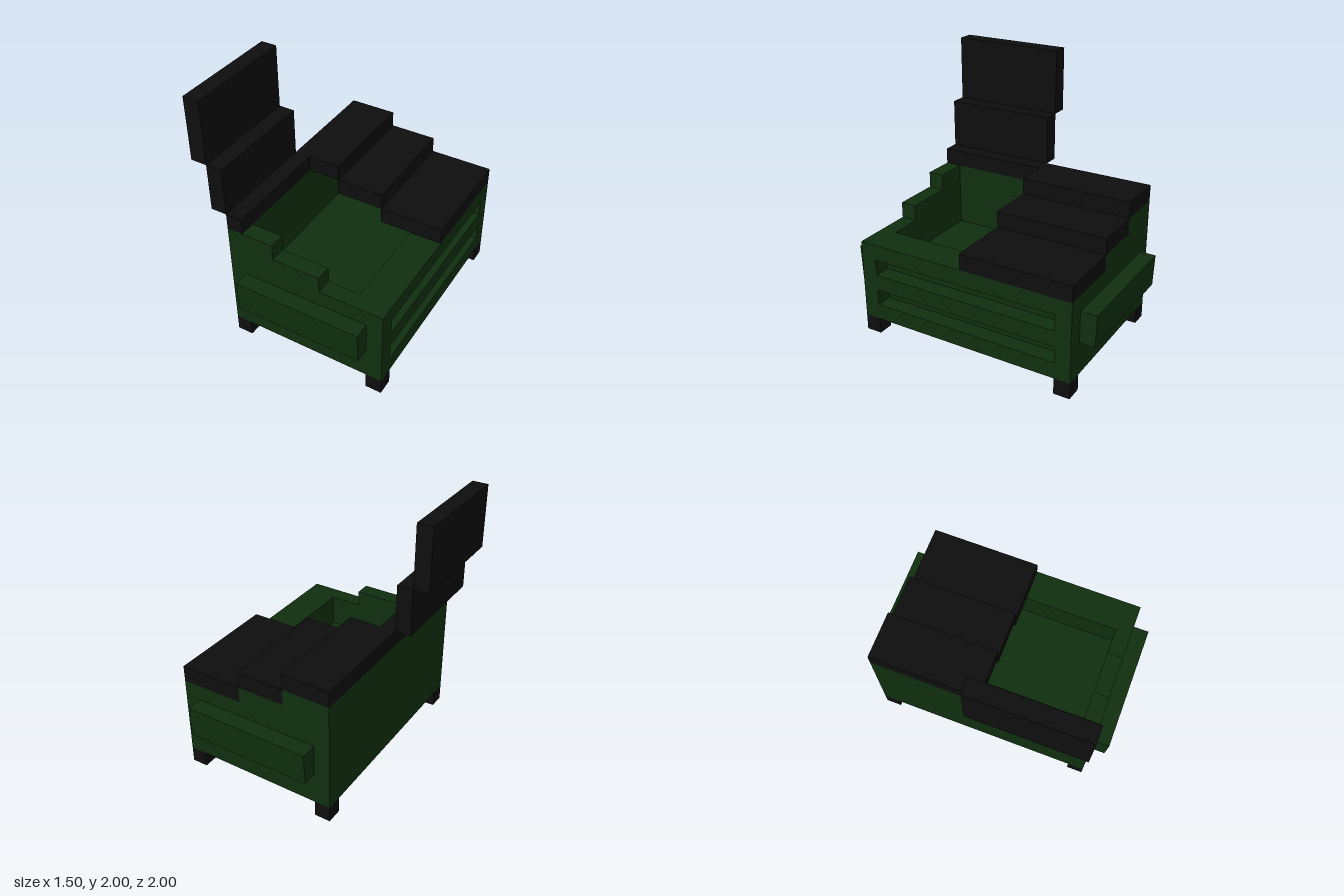
import * as THREE from 'three';

const green = new THREE.MeshStandardMaterial({ name: 'dark green', color: 0x102f10 });
const black = new THREE.MeshStandardMaterial({ name: 'black', color: 0x0e0e0e });

// Box given by its lower and upper corners
function box(name, material, [x0, y0, z0], [x1, y1, z1]) {
  const mesh = new THREE.Mesh(new THREE.BoxGeometry(x1 - x0, y1 - y0, z1 - z0), material);
  mesh.position.set((x0 + x1) / 2, (y0 + y1) / 2, (z0 + z1) / 2);
  mesh.name = name;
  return mesh;
}

// Prism with its outline in the xy plane, running from z0 to z1
function prism(name, material, points, z0, z1) {
  const shape = new THREE.Shape(points.map(([x, y]) => new THREE.Vector2(x, y)));
  const geometry = new THREE.ExtrudeGeometry(shape, { depth: z1 - z0, bevelEnabled: false });
  geometry.translate(0, 0, z0);
  const mesh = new THREE.Mesh(geometry, material);
  mesh.name = name;
  return mesh;
}

export function createModel() {
  const model = new THREE.Group();
  model.name = 'container';

  // Stepped end walls
  const outline = [[-0.5, 0.125], [0.75, 0.125], [0.75, 0.75], [0.25, 0.75],
    [0.25, 0.875], [-0.125, 0.875], [-0.125, 1], [-0.5, 1]];
  model.add(prism('frontWall', green, outline, 0.75, 0.875));
  model.add(prism('backWall', green, outline, -0.875, -0.75));

  // Tall side wall, low side wall and raised floor
  model.add(box('tallSideWall', green, [-0.5, 0.125, -0.75], [-0.375, 1, 0.75]));
  model.add(box('lowSideWall', green, [0.5, 0.125, -0.75], [0.625, 0.75, 0.75]));
  model.add(box('floor', green, [-0.375, 0.125, -0.75], [0.5, 0.5, 0.75]));

  // Slats that leave two grooves on the low side
  for (const [y0, y1] of [[0.125, 0.25], [0.375, 0.5], [0.625, 0.75]]) {
    model.add(box('sideSlat', green, [0.625, y0, -0.75], [0.75, y1, 0.75]));
  }

  for (const s of [1, -1]) {
    // Handle bar, slightly slimmer at its lower edge
    const handle = box('handle', green, [-0.375, 0.378, s > 0 ? 0.875 : -1], [0.625, 0.627, s > 0 ? 1 : -0.875]);
    const p = handle.geometry.attributes.position;
    for (let i = 0; i < p.count; i++) {
      if (p.getY(i) < 0 && p.getZ(i) * s > 0) p.setZ(i, p.getZ(i) - 0.01 * s);
    }
    handle.geometry.computeVertexNormals();
    model.add(handle);

    // Feet
    for (const x of [-0.5, 0.625]) {
      const z = s > 0 ? 0.75 : -0.875;
      model.add(box('foot', black, [x, 0, z], [x + 0.125, 0.125, z + 0.125]));
    }
  }

  // Closed lid half in three steps
  const lid = new THREE.Group();
  lid.name = 'closedLid';
  for (const [x0, x1, y] of [[-0.5, -0.125, 1], [-0.125, 0.25, 0.875], [0.25, 0.75, 0.75]]) {
    lid.add(box('lidStep', black, [x0, y, -0.875], [x1, y + 0.125, 0]));
  }
  model.add(lid);

  // Open lid half standing on its hinge strip
  const openLid = new THREE.Group();
  openLid.name = 'openLid';
  openLid.add(box('hingeStrip', black, [-0.5, 1, 0], [-0.375, 1.125, 0.875]));
  openLid.add(box('lowerFlap', black, [-0.625, 1.125, 0], [-0.5, 1.5, 0.875]));
  openLid.add(box('upperFlap', black, [-0.75, 1.5, 0], [-0.625, 2, 0.875]));
  model.add(openLid);

  return model;
}
